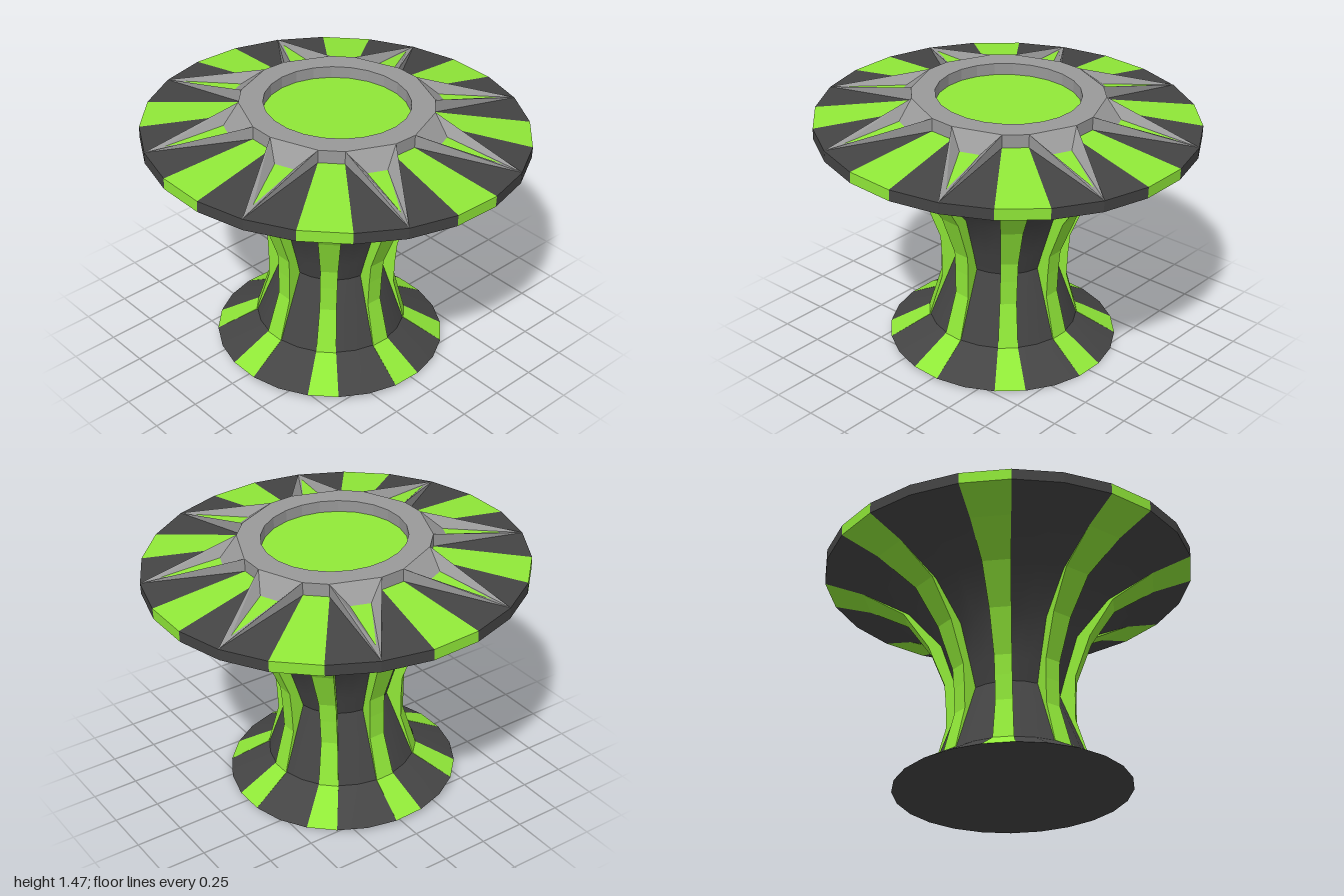
import * as THREE from 'three';
import { toCreasedNormals } from 'three/addons/utils/BufferGeometryUtils.js';

const STEP = Math.PI / 12; // 24 sectors; every third one is a green stripe
const material = (color) => new THREE.MeshStandardMaterial({ color, side: THREE.DoubleSide });
const green = material(0x90e838);
const black = material(0x444444);
const grey = material(0x999999);

// point from radius, height and angle (in sectors)
const polar = (r, y, a) => [r * Math.sin(a * STEP), y, r * Math.cos(a * STEP)];

// collects quads and triangles, corners counter-clockwise from outside
class Faces {
  constructor() { this.points = []; }
  tri(a, b, c) { this.points.push(...a, ...b, ...c); }
  quad(a, b, c, d) { this.tri(a, b, c); this.tri(a, c, d); }
  mesh(name, mat, crease = 0.02) {
    const geometry = new THREE.BufferGeometry();
    geometry.setAttribute('position', new THREE.Float32BufferAttribute(this.points, 3));
    const mesh = new THREE.Mesh(toCreasedNormals(geometry, crease), mat);
    mesh.name = name;
    return mesh;
  }
}

// height, rib radius, recessed panel radius
const PROFILE = [
  [0, 0.625, 0.625], [0.125, 0.41, 0.405], [0.36, 0.343, 0.317], [0.5, 0.346, 0.265],
  [0.61, 0.353, 0.297], [0.84, 0.44, 0.37], [1.04, 0.575, 0.55], [1.165, 0.797, 0.797],
  [1.235, 1.008, 1.008],
];
const RIM = 1.008, RIM_LOW = 1.235, RIM_TOP = 1.295;
const RING = 0.504, RING_LOW = 1.36, RING_TOP = 1.43, HOLE = 0.38;

export function createModel() {
  const model = new THREE.Group();
  model.name = 'stripedPedestal';
  const body = new THREE.Group();
  body.name = 'tiltedBody';
  model.add(body);

  const ribs = new Faces(), panels = new Faces();
  const deckGreen = new Faces(), deckBlack = new Faces();
  for (let k = 0; k < 24; k++) {
    const striped = k % 3 === 0;
    const a = k - 0.5, b = k + 0.5;
    // flared column, with side walls on the raised ribs
    for (let i = 0; i < PROFILE.length - 1; i++) {
      const [y0, rib0, in0] = PROFILE[i], [y1, rib1, in1] = PROFILE[i + 1];
      const r0 = striped ? rib0 : in0, r1 = striped ? rib1 : in1;
      (striped ? ribs : panels).quad(polar(r0, y0, a), polar(r0, y0, b), polar(r1, y1, b), polar(r1, y1, a));
      if (striped && (rib0 > in0 || rib1 > in1)) {
        ribs.quad(polar(in0, y0, a), polar(rib0, y0, a), polar(rib1, y1, a), polar(in1, y1, a));
        ribs.quad(polar(rib0, y0, b), polar(in0, y0, b), polar(in1, y1, b), polar(rib1, y1, b));
      }
    }
    // rim band and sloping deck
    const deck = striped ? deckGreen : deckBlack;
    deck.quad(polar(RIM, RIM_LOW, a), polar(RIM, RIM_LOW, b), polar(RIM, RIM_TOP, b), polar(RIM, RIM_TOP, a));
    deck.quad(polar(RIM, RIM_TOP, a), polar(RIM, RIM_TOP, b), polar(RING, RING_LOW, b), polar(RING, RING_LOW, a));
  }
  body.add(ribs.mesh('columnRibs', green), panels.mesh('columnPanels', black, 0.6));
  body.add(deckGreen.mesh('deckGreenStripes', green), deckBlack.mesh('deckBlackStripes', black));

  // hollow star points with a sunken green panel
  const spikes = new Faces(), insets = new Faces();
  for (let k = 0; k < 8; k++) {
    const mid = 1.5 + 3 * k;
    const tip = polar(RIM, RIM_TOP + 0.002, mid);
    const inTip = polar(0.906, 1.314, mid);
    const [topA, topB] = [-1, 1].map((s) => polar(RING, RING_TOP, mid + s));
    const [lowA, lowB] = [-1, 1].map((s) => polar(RING, RING_LOW, mid + s));
    const [inA, inB] = [-1, 1].map((s) => polar(0.59, 1.354, mid + s * 0.34));
    spikes.tri(lowA, tip, topA);
    spikes.tri(tip, lowB, topB);
    spikes.quad(topA, tip, inTip, inA);
    spikes.quad(tip, topB, inB, inTip);
    spikes.quad(topA, inA, inB, topB);
    insets.tri(inA, inTip, inB);
  }
  body.add(spikes.mesh('starPoints', grey), insets.mesh('starPointInsets', green));

  // raised ring: outer corners only beside the green stripes
  const corners = [];
  for (let k = 0; k < 8; k++) {
    for (const s of [-0.5, 0.5]) {
      const [x, , z] = polar(RING, 0, 3 * k + s);
      corners.push(new THREE.Vector2(x, z));
    }
  }
  const outline = new THREE.Shape(corners);
  const hole = [];
  for (let k = 0; k < 24; k++) {
    const [x, , z] = polar(HOLE, 0, k + 0.5);
    hole.push(new THREE.Vector2(x, z));
  }
  outline.holes.push(new THREE.Path(hole));
  const ringGeometry = new THREE.ExtrudeGeometry(outline, { depth: RING_TOP - RING_LOW, bevelEnabled: false });
  ringGeometry.rotateX(-Math.PI / 2).translate(0, RING_LOW, 0);
  const ring = new THREE.Mesh(ringGeometry, grey);
  ring.name = 'raisedRing';
  body.add(ring);

  // flat discs: sunken centre and underside
  const disc = (name, r, y, up, mat) => {
    const geometry = new THREE.CircleGeometry(r, 24, STEP / 2);
    geometry.rotateX(up ? -Math.PI / 2 : Math.PI / 2);
    const mesh = new THREE.Mesh(geometry, mat);
    mesh.position.y = y;
    mesh.name = name;
    body.add(mesh);
  };
  disc('centreDisc', HOLE + 0.01, 1.366, true, green);
  disc('baseUnderside', PROFILE[0][1], 0, false, black);

  // the whole piece leans slightly
  body.rotation.set(0.004, 0, -0.0355);
  body.position.set(-0.045, 0.0235, -0.005);
  return model;
}
